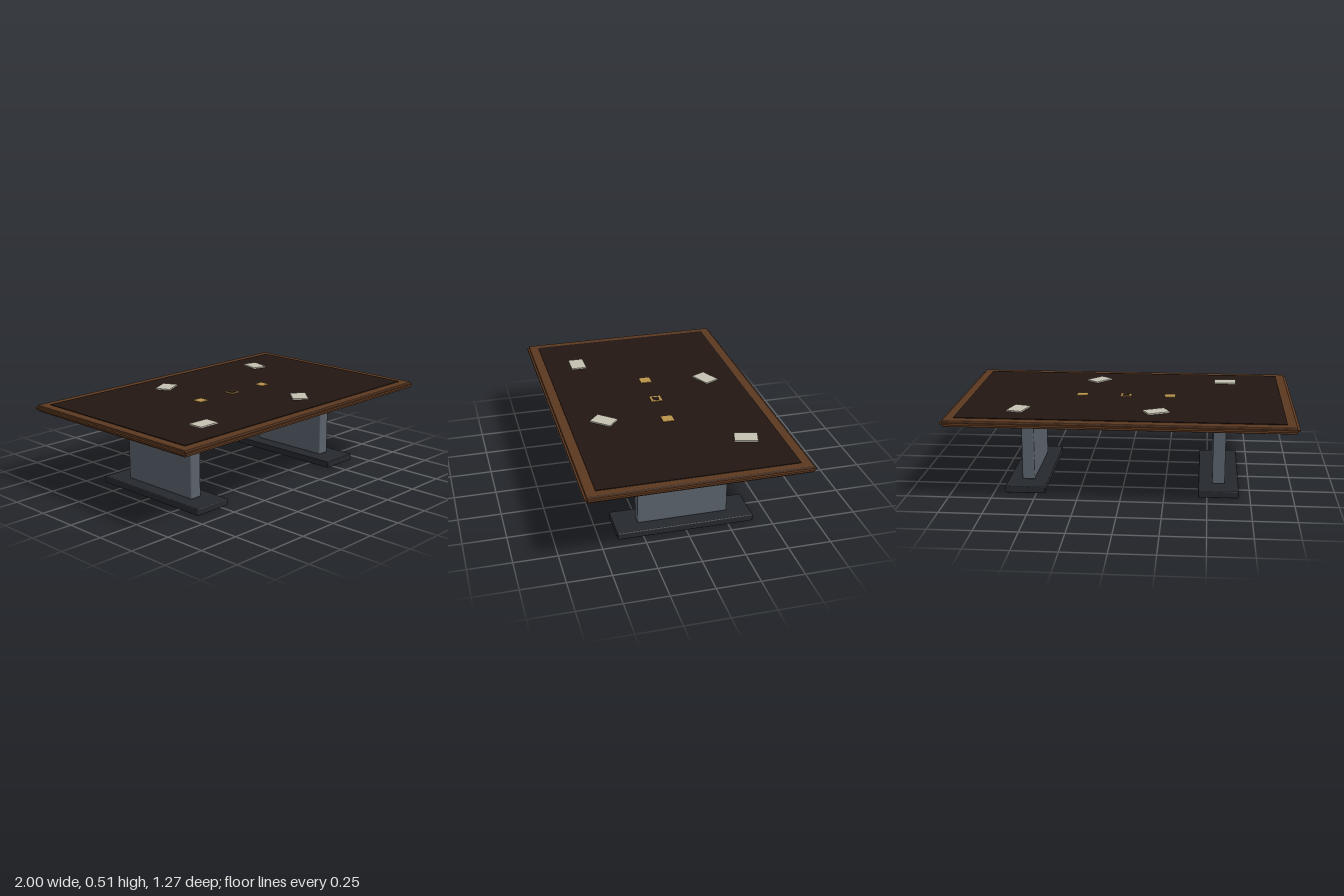
import * as THREE from 'three';
import { RoundedBoxGeometry } from 'three/addons/geometries/RoundedBoxGeometry.js';

const mat = (color) => new THREE.MeshStandardMaterial({ color });

export function createModel() {
  const group = new THREE.Group();
  const wood = mat(0x5c3820);
  const darkTop = mat(0x221611);
  const steel = mat(0x59626b);
  const baseMat = mat(0x25282e);
  const brass = mat(0xb8924a);
  const paper = mat(0xc5c1b2);

  // Box spanning heights y0..y1, optionally with softened edges
  function slab(name, w, y0, y1, d, x, z, material, radius = 0, turn = 0) {
    const h = y1 - y0;
    const geometry = radius
      ? new RoundedBoxGeometry(w, h, d, 2, radius)
      : new THREE.BoxGeometry(w, h, d);
    const mesh = new THREE.Mesh(geometry, material);
    mesh.name = name;
    mesh.position.set(x, (y0 + y1) / 2, z);
    mesh.rotation.y = turn;
    group.add(mesh);
    return mesh;
  }

  // Table top with its dark writing surface
  slab('tableTop', 1.97, 0.462, 0.499, 1.246, 0, 0, wood, 0.004);
  slab('darkSurface', 1.866, 0.494, 0.503, 1.134, 0, 0, darkTop);

  // Edge trim and the two pedestals
  for (const s of [-1, 1]) {
    slab('longEdgeTrim', 1.97, 0.476, 0.487, 0.02, 0, s * 0.624, wood);
    slab('shortEdgeTrim', 0.02, 0.476, 0.487, 1.24, s * 0.99, 0, wood);
    slab('pedestal', 0.075, 0.04, 0.464, 0.53, s * 0.567, 0, steel, 0.007);
    slab('foot', 0.236, 0, 0.04, 0.798, s * 0.567, 0, baseMat, 0.005);
  }

  // Brass inlays along the middle, the centre one with a dark socket
  for (const x of [-0.266, 0, 0.266]) {
    slab('brassInlay', 0.066, 0.5, 0.506, 0.066, x, 0, brass);
  }
  slab('socket', 0.038, 0.5, 0.508, 0.038, 0, 0, darkTop);

  // Paper stacks: x, z, turn
  const papers = [
    [-0.602, 0.366, 0],
    [-0.2, -0.37, 0.45],
    [0.199, 0.364, 0.85],
    [0.598, -0.367, 1.3],
  ];
  for (const [x, z, turn] of papers) {
    slab('paperStack', 0.133, 0.502, 0.511, 0.093, x, z, paper, 0, turn);
  }

  return group;
}
